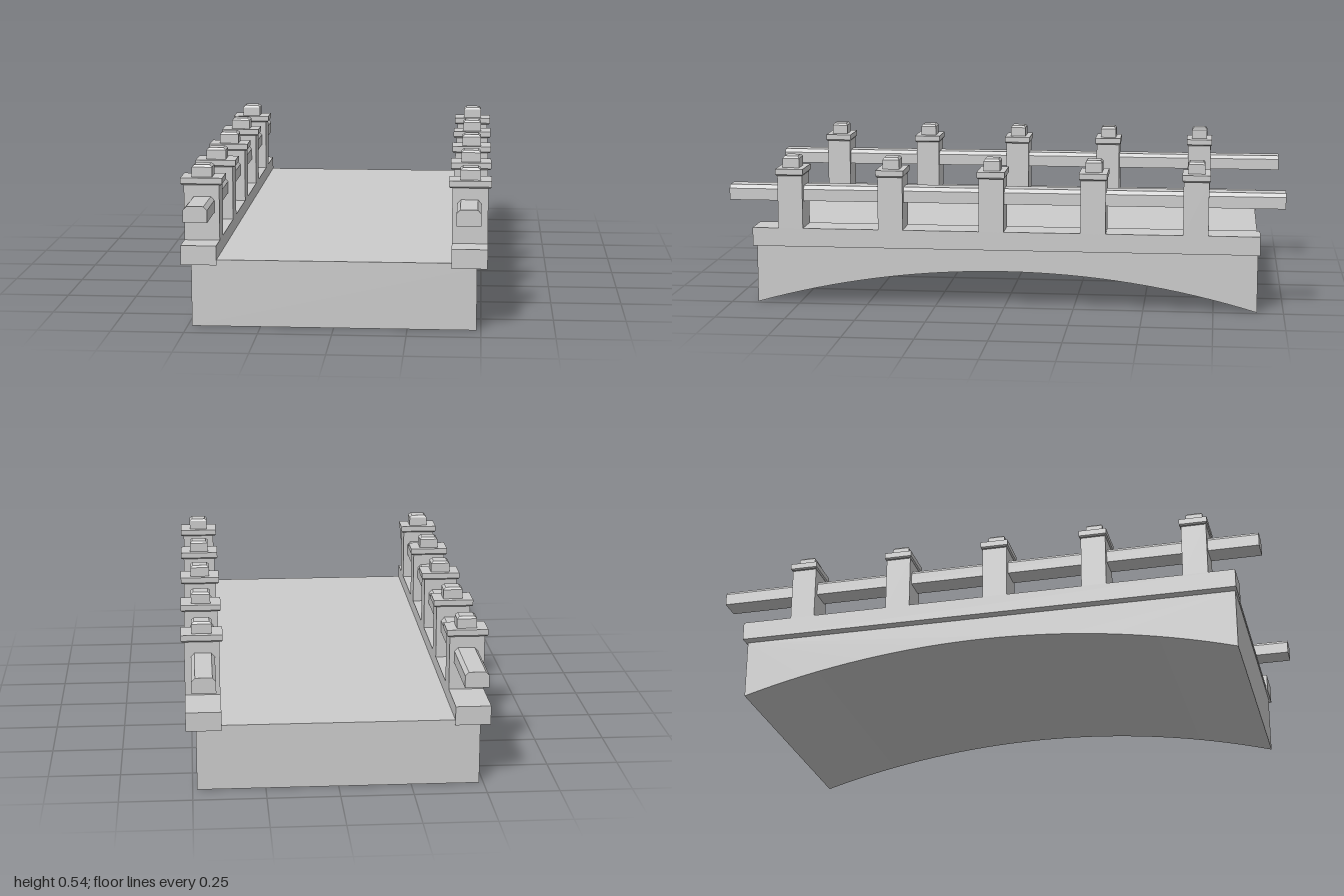
import * as THREE from 'three';

const material = new THREE.MeshStandardMaterial({ color: 0xcccccc, flatShading: true });

function add(parent, name, geometry, x = 0, y = 0, z = 0) {
  const mesh = new THREE.Mesh(geometry, material);
  mesh.name = name;
  mesh.position.set(x, y, z);
  parent.add(mesh);
  return mesh;
}

// Box from y0 to y1
function block(parent, name, w, d, y0, y1, x = 0, z = 0) {
  return add(parent, name, new THREE.BoxGeometry(w, y1 - y0, d), x, (y0 + y1) / 2, z);
}

// Block whose top or bottom rim is drawn in by (ix, iz) over a height of c
function chamferedBlock(parent, name, w, d, y0, y1, c, ix, iz, atTop, x, z) {
  const h = y1 - y0;
  const geometry = new THREE.BoxGeometry(w, h, d, 1, 2, 1);
  const p = geometry.attributes.position;
  const end = atTop ? 1 : -1;
  for (let i = 0; i < p.count; i++) {
    const y = p.getY(i);
    if (Math.abs(y) < 1e-6) p.setY(i, end * (h / 2 - c));
    else if (Math.sign(y) === end) {
      p.setX(i, p.getX(i) - Math.sign(p.getX(i)) * ix);
      p.setZ(i, p.getZ(i) - Math.sign(p.getZ(i)) * iz);
    }
  }
  geometry.computeVertexNormals();
  return add(parent, name, geometry, x, (y0 + y1) / 2, z);
}

export function createModel() {
  const bridge = new THREE.Group();
  bridge.name = 'archBridge';

  // Arched body: side profile extruded across the width
  const half = 0.906, rise = 0.13, top = 0.215, width = 0.97;
  const radius = (half * half + rise * rise) / (2 * rise);
  const sweep = Math.asin(half / radius);
  const profile = new THREE.Shape();
  profile.moveTo(-half, top);
  const steps = 32;
  for (let i = 0; i <= steps; i++) {
    const a = -sweep + (2 * sweep * i) / steps;
    profile.lineTo(radius * Math.sin(a), rise - radius + radius * Math.cos(a));
  }
  profile.lineTo(half, top);
  const body = new THREE.ExtrudeGeometry(profile, { depth: width, bevelEnabled: false });
  body.translate(0, 0, -width / 2);
  body.rotateY(Math.PI / 2);
  add(bridge, 'archBody', body);

  // Road surface between the curbs
  block(bridge, 'deck', 0.84, 1.816, top, 0.232);

  // Hand rail section with chamfered upper edges
  const railShape = new THREE.Shape();
  [[-0.041, 0.378], [0.041, 0.378], [0.041, 0.42], [0.029, 0.433], [-0.029, 0.433], [-0.041, 0.42]]
    .forEach(([x, y], i) => (i ? railShape.lineTo(x, y) : railShape.moveTo(x, y)));
  const railGeometry = new THREE.ExtrudeGeometry(railShape, { depth: 2, bevelEnabled: false });
  railGeometry.translate(0, 0, -1);

  for (const [side, s] of [['left', 1], ['right', -1]]) {
    const parapet = new THREE.Group();
    parapet.name = side + 'Parapet';
    bridge.add(parapet);
    const x = s * 0.459;
    block(parapet, 'curb', 0.122, 1.826, 0.214, 0.281, x);
    add(parapet, 'handRail', railGeometry, s * 0.456);

    // Five posts, each with a cap and a knob
    for (let i = 0; i < 5; i++) {
      const z = 0.773 - i * 0.3645;
      const post = new THREE.Group();
      post.name = 'post' + (i + 1);
      parapet.add(post);
      block(post, 'shaft', 0.122, 0.09, 0.28, 0.474, x, z);
      chamferedBlock(post, 'cap', 0.144, 0.1, 0.473, 0.498, 0.005, 0.004, 0.004, false, x, z);
      chamferedBlock(post, 'knob', 0.07, 0.06, 0.497, 0.54, 0.008, 0.009, 0.006, true, x, z);
    }
  }
  return bridge;
}
